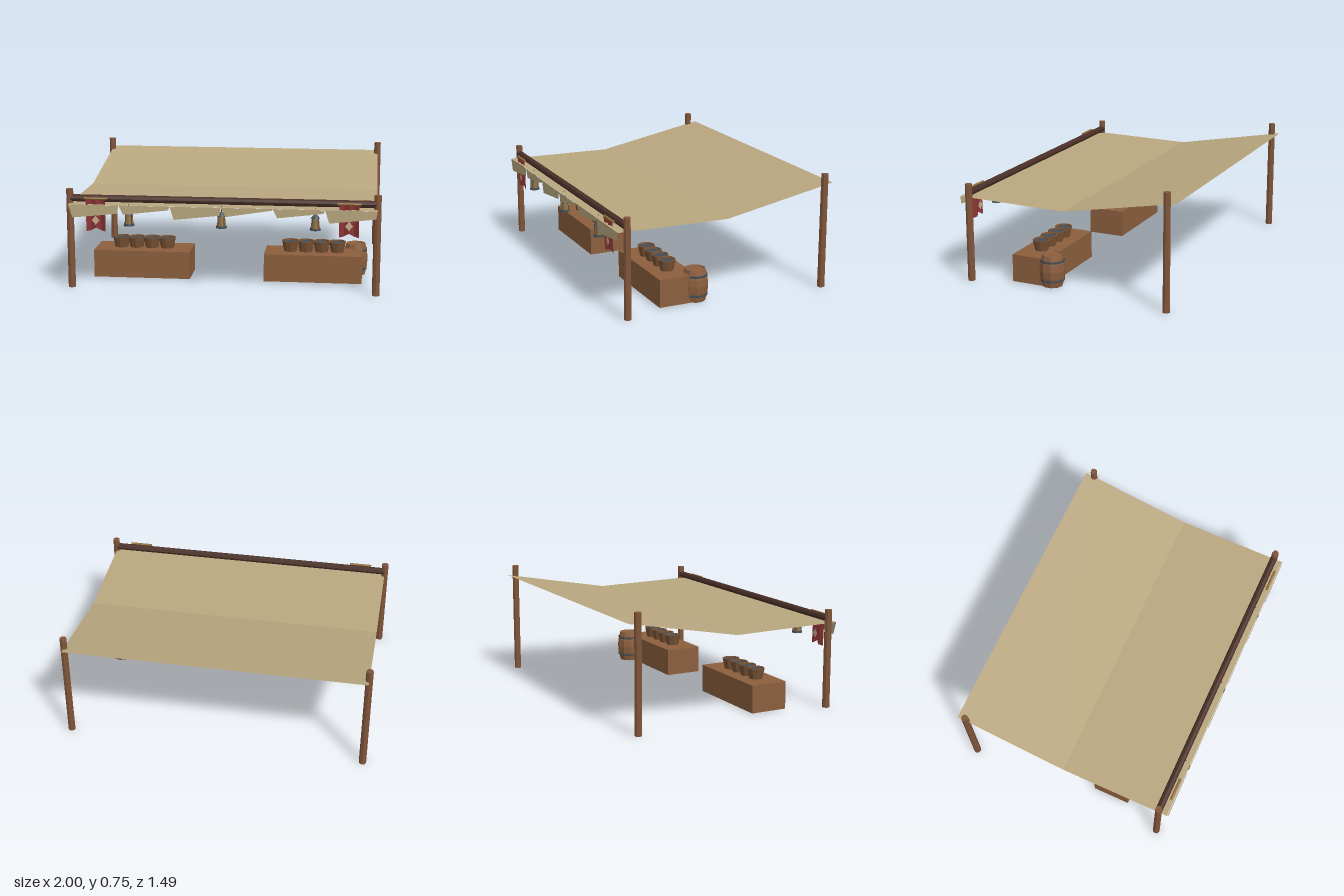
import * as THREE from 'three';

const mat = (name, color, extra = {}) =>
  Object.assign(new THREE.MeshStandardMaterial({ color, flatShading: true, ...extra }), { name });

export function createModel() {
  const root = new THREE.Group();
  root.name = 'marketStall';
  const postWood = mat('post wood', 0x80553a);
  const counterWood = mat('counter wood', 0x8c5f3e);
  const bucketWood = mat('bucket wood', 0x7a5334);
  const darkWood = mat('dark beam wood', 0x4b3028);
  const canvas = mat('canvas', 0xb9a77f, { side: THREE.DoubleSide });
  const red = mat('red cloth', 0x8c3434, { side: THREE.DoubleSide });
  const cream = mat('cream cloth', 0xc9b08c, { side: THREE.DoubleSide });
  const iron = mat('iron', 0x454d54);
  const amber = mat('amber glass', 0x96713f);

  const add = (parent, name, geo, material, x = 0, y = 0, z = 0) => {
    const m = new THREE.Mesh(geo, material);
    m.name = name;
    m.position.set(x, y, z);
    parent.add(m);
    return m;
  };
  const group = (name, x, y, z) => {
    const g = new THREE.Group();
    g.name = name;
    g.position.set(x, y, z);
    root.add(g);
    return g;
  };
  const cyl = (rt, rb, h, n = 8, open = false) => new THREE.CylinderGeometry(rt, rb, h, n, 1, open);
  const shape = pts => new THREE.ShapeGeometry(new THREE.Shape(pts.map(p => new THREE.Vector2(...p))));

  // Strip of quads between two matching edges
  const strip = (a, b) => {
    const g = new THREE.BufferGeometry();
    const idx = [];
    for (let i = 0; i < a.length - 1; i++) {
      const k = i * 2;
      idx.push(k, k + 1, k + 2, k + 2, k + 1, k + 3);
    }
    g.setAttribute('position', new THREE.Float32BufferAttribute(a.flatMap((p, i) => [...p, ...b[i]]), 3));
    g.setIndex(idx);
    const flat = g.toNonIndexed();
    flat.computeVertexNormals();
    return flat;
  };

  // Corner posts and the front beam
  for (const s of [-1, 1]) {
    add(root, 'backPost', cyl(0.023, 0.024, 0.755), postWood, s * 0.975, 0.3775, -0.69);
    add(root, 'frontPost', cyl(0.023, 0.024, 0.645), postWood, s * 0.975, 0.3225, 0.675);
  }
  add(root, 'frontBeam', cyl(0.023, 0.023, 1.94), darkWood, 0, 0.587, 0.675).rotation.z = Math.PI / 2;

  // Sagging canopy with one fold
  const edge = x => [[-0.75, 0.69], [0, 0.547], [0.735, 0.556]].map(([z, y]) => [x, y, z]);
  add(root, 'canopy', strip(edge(-0.975), edge(0.975)), canvas);

  // Ragged valance: x start, x end, bottom left, bottom right
  for (const [x0, x1, bl, br] of [
    [-0.975, -0.65, 0.472, 0.502], [-0.65, -0.325, 0.497, 0.532], [-0.325, 0, 0.472, 0.505],
    [0, 0.325, 0.498, 0.545], [0.325, 0.65, 0.498, 0.533], [0.65, 0.975, 0.472, 0.505]]) {
    add(root, 'valance', shape([[x0, 0.556], [x0 + 0.028, bl], [x1 - 0.008, br], [x1, 0.556]]), canvas, 0, 0, 0.738);
  }

  // Counters with a row of filled buckets
  for (const s of [-1, 1]) {
    add(root, 'counter', new THREE.BoxGeometry(0.64, 0.182, 0.25), counterWood, s * 0.565, 0.091, 0.295);
    for (let i = 0; i < 4; i++) {
      const g = group('bucket', s * (0.412 + i * 0.103), 0.182, 0.295);
      const wall = new THREE.LatheGeometry(
        [[0, 0], [0.043, 0], [0.058, 0.07], [0.049, 0.07], [0.047, 0.055]].map(p => new THREE.Vector2(...p)), 10);
      add(g, 'bucketWall', wall, bucketWood);
      add(g, 'bucketContents', cyl(0.048, 0.047, 0.006, 10), iron, 0, 0.058, 0);
    }
  }

  // Barrel with two iron hoops
  const barrel = group('barrel', 0.84, 0, 0.155);
  add(barrel, 'barrelBody', new THREE.LatheGeometry(
    [[0, 0], [0.066, 0], [0.08, 0.06], [0.084, 0.105], [0.08, 0.15], [0.066, 0.21], [0.06, 0.21], [0.058, 0.203], [0, 0.203]]
      .map(p => new THREE.Vector2(...p)), 10), counterWood);
  for (const y of [0.043, 0.17]) add(barrel, 'barrelHoop', cyl(0.08, 0.08, 0.013, 10), iron, 0, y, 0);

  // Hanging lanterns
  for (const x of [-0.59, 0, 0.59]) {
    const g = group('lantern', x, 0.42, 0.7);
    add(g, 'lanternBase', cyl(0.033, 0.035, 0.014), iron, 0, 0.007, 0);
    add(g, 'lanternGlass', cyl(0.022, 0.029, 0.062), amber, 0, 0.045, 0);
    for (let i = 0; i < 4; i++) {
      const a = (i + 0.5) * Math.PI / 2;
      add(g, 'lanternBar', new THREE.BoxGeometry(0.006, 0.062, 0.006), iron, Math.sin(a) * 0.026, 0.045, Math.cos(a) * 0.026);
    }
    add(g, 'lanternRoof', cyl(0.008, 0.03, 0.026), iron, 0, 0.088, 0);
    add(g, 'lanternHook', cyl(0.004, 0.004, 0.04, 6), iron, 0, 0.118, 0);
  }

  // Pleated banners on rods with a plain diamond on both faces
  const columns = [[-0.062, 0.38, 0.008], [-0.032, 0.385, -0.008], [0, 0.405, 0.006], [0.032, 0.385, -0.008], [0.062, 0.38, 0.008]];
  for (const s of [-1, 1]) {
    const g = group('banner', s * 0.8, 0, 0.718);
    add(g, 'bannerCloth', strip(columns.map(([x, , z]) => [x, 0.59, z]), columns.map(([x, y, z]) => [x, y, z - 0.006])), red);
    for (const z of [0.009, -0.018])
      add(g, 'bannerDiamond', shape([[0, 0.425], [0.025, 0.455], [0, 0.485], [-0.025, 0.455]]), cream, 0, 0, z);
    add(g, 'bannerRod', cyl(0.008, 0.008, 0.15, 6), amber, 0, 0.593, 0).rotation.z = Math.PI / 2;
  }
  return root;
}
